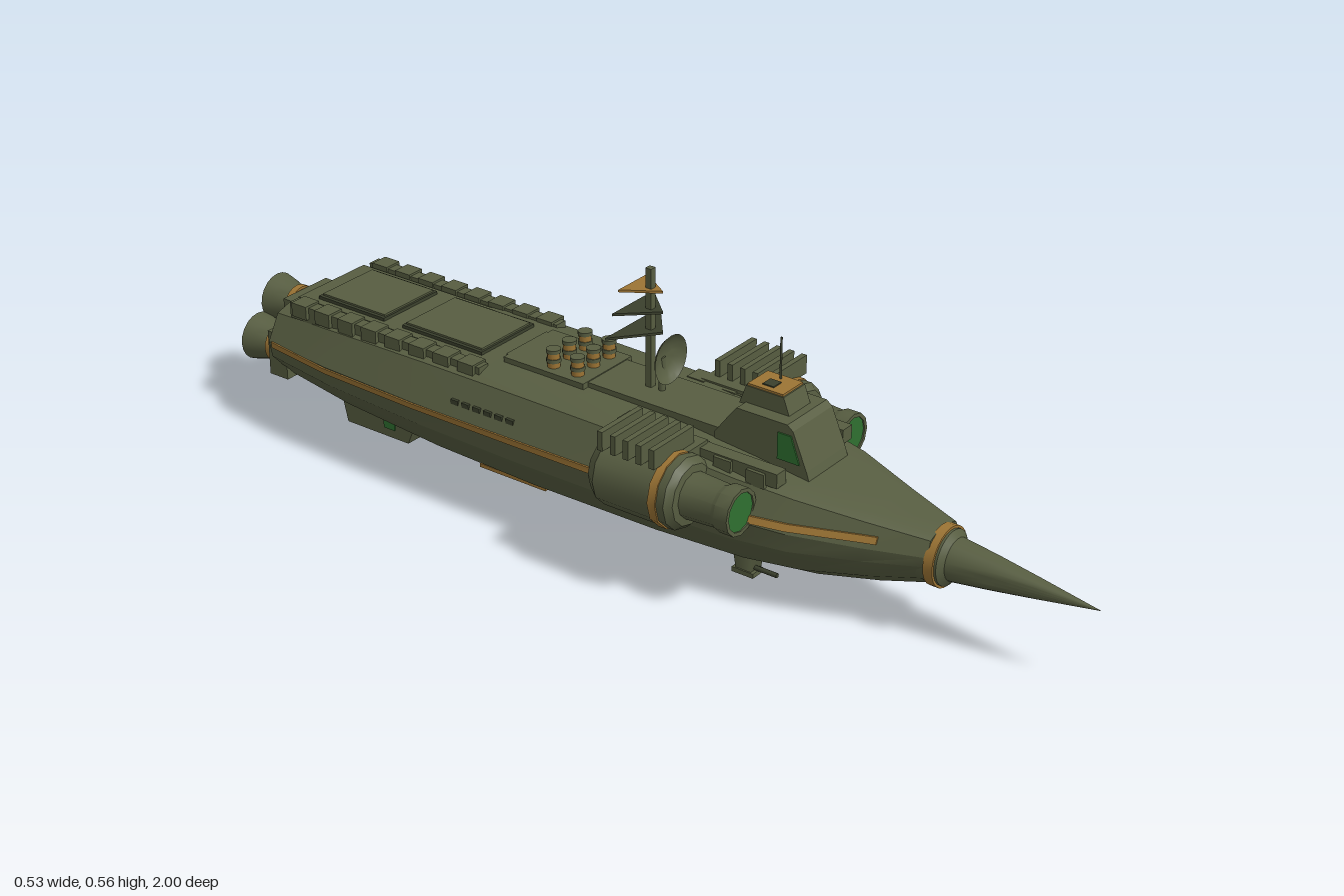
import * as THREE from 'three';
import { toCreasedNormals } from 'three/addons/utils/BufferGeometryUtils.js';

const mat = (name, color, side = THREE.FrontSide) => {
  const m = new THREE.MeshStandardMaterial({ color, side });
  m.name = name;
  return m;
};

// Hull stations: z, half width, top, bottom
const STATIONS = [
  [0.67, 0.056, 0.222, 0.112], [0.55, 0.1, 0.24, 0.078], [0.42, 0.148, 0.262, 0.05],
  [0.3, 0.172, 0.277, 0.036], [0.1, 0.187, 0.296, 0.027], [-0.2, 0.19, 0.3, 0.025],
  [-0.45, 0.19, 0.3, 0.034], [-0.7, 0.181, 0.291, 0.055], [-0.88, 0.155, 0.272, 0.078],
];
// Half cross-section, bottom to top, as fractions of half width and height
const SECTION = [[0.2, 0], [0.62, 0.18], [0.95, 0.47], [1, 0.66], [0.8, 0.94], [0.55, 1]];

function stationAt(z) {
  let i = 0;
  while (i < STATIONS.length - 2 && STATIONS[i + 1][0] > z) i++;
  const a = STATIONS[i], b = STATIONS[i + 1], t = (a[0] - z) / (a[0] - b[0]);
  return a.map((v, k) => v + (b[k] - v) * t);
}

// Half width of the hull at a given z and height
function hullX(z, y) {
  const [, w, t, b] = stationAt(z);
  const f = (y - b) / (t - b);
  for (let i = 0; i < SECTION.length - 1; i++) {
    const [x0, f0] = SECTION[i], [x1, f1] = SECTION[i + 1];
    if (f <= f1) return w * (x0 + (x1 - x0) * (f - f0) / (f1 - f0));
  }
  return w * 0.55;
}

// Skin between rings of equal length, running from front to back, with end caps
function loft(rings) {
  const n = rings[0].length, pos = [], idx = [];
  rings.forEach(r => r.forEach(p => pos.push(...p)));
  for (let i = 0; i < rings.length - 1; i++)
    for (let j = 0; j < n; j++) {
      const k = (j + 1) % n, a = i * n + j, b = i * n + k, d = a + n, c = b + n;
      idx.push(a, d, c, a, c, b);
    }
  const last = (rings.length - 1) * n;
  for (let j = 1; j < n - 1; j++) idx.push(0, j, j + 1, last, last + j + 1, last + j);
  const g = new THREE.BufferGeometry();
  g.setAttribute('position', new THREE.Float32BufferAttribute(pos, 3));
  g.setIndex(idx);
  return toCreasedNormals(g, 0.45);
}

// Solid of revolution along z; points are [radius, z] with z rising
function turned(points, sides) {
  const g = new THREE.LatheGeometry(points.map(p => new THREE.Vector2(...p)), sides);
  return toCreasedNormals(g.rotateX(Math.PI / 2), 0.6);
}

// Side profile of [z, y] points extruded across x
function slab(points, width) {
  const s = new THREE.Shape(points.map(p => new THREE.Vector2(...p)));
  const g = new THREE.ExtrudeGeometry(s, { depth: width, bevelEnabled: false });
  return g.rotateY(-Math.PI / 2).translate(width / 2, 0, 0);
}

export function createModel() {
  const root = new THREE.Group();
  const olive = mat('olive hull', 0x575d41);
  const oliveOpen = mat('olive open surfaces', 0x575d41, THREE.DoubleSide);
  const gold = mat('gold trim', 0x9c7434);
  const green = mat('green glass', 0x2f7030, THREE.DoubleSide);
  const dark = mat('dark olive', 0x3b402d);

  const add = (name, geo, m, x = 0, y = 0, z = 0) => {
    const o = new THREE.Mesh(geo, m);
    o.name = name;
    o.position.set(x, y, z);
    root.add(o);
    return o;
  };
  const box = (name, m, w, h, d, x, y, z) => add(name, new THREE.BoxGeometry(w, h, d), m, x, y, z);
  const rod = (name, m, r, h, x, y, z, n = 12) => add(name, new THREE.CylinderGeometry(r, r, h, n), m, x, y, z);

  // Hull
  add('hull', loft(STATIONS.map(([z, w, t, b]) => {
    const half = SECTION.map(([x, f]) => [x * w, b + f * (t - b), z]);
    return [...half, ...half.map(([x, y]) => [-x, y, z]).reverse()];
  })), olive);

  // Nose spike with collar
  add('noseCone', turned([[0, 0.64], [0.056, 0.64], [0.056, 0.69], [0.043, 0.7], [0.033, 0.78], [0.02, 0.87], [0, 1]], 24), olive, 0, 0.167, 0);
  add('noseRing', turned([[0.05, 0.665], [0.061, 0.665], [0.061, 0.685], [0.05, 0.685]], 24), gold, 0, 0.167, 0);

  // Parts mirrored on both sides
  for (const s of [1, -1]) {
    // Gold side stripe following the hull
    const rings = [0.58, 0.55, 0.42, 0.3, 0.1, -0.2, -0.45, -0.7, -0.87].map(z => {
      const p = [[-0.01, 0.196], [0.004, 0.196], [0.004, 0.209], [-0.01, 0.209]]
        .map(([o, y]) => [s * (hullX(z, y) + o), y, z]);
      return s > 0 ? p : p.reverse();
    });
    add('sideStripe', loft(rings), gold);

    // Side pods
    const px = s * 0.187, py = 0.23;
    add('podBody', turned([[0, 0.035], [0.055, 0.035], [0.074, 0.06], [0.074, 0.225], [0.062, 0.238], [0.047, 0.24],
      [0.043, 0.31], [0.048, 0.32], [0.048, 0.35], [0.04, 0.35], [0.04, 0.335], [0, 0.335]], 12), olive, px, py, 0);
    add('podRing', turned([[0.07, 0.19], [0.077, 0.19], [0.077, 0.208], [0.07, 0.208]], 12), gold, px, py, 0);
    add('podLens', new THREE.CircleGeometry(0.041, 12), green, px, py, 0.347);
    for (let i = 0; i < 5; i++) box('podFin', olive, 0.125, 0.04, 0.012, px, 0.315, 0.07 + i * 0.03);
    box('podBracket', olive, 0.06, 0.05, 0.16, s * 0.13, 0.275, 0.13);

    // Deck rails with raised blocks
    box('rearRail', olive, 0.028, 0.035, 0.51, s * 0.122, 0.287, -0.575);
    for (let i = 0; i < 8; i++) box('rearRailBlock', olive, 0.04, 0.03, 0.04, s * 0.124, 0.294, -0.35 - i * 0.064);
    box('frontRail', olive, 0.03, 0.03, 0.37, s * 0.11, 0.278, 0.2);
    for (let i = 0; i < 5; i++) box('frontRailBlock', olive, 0.04, 0.03, 0.04, s * 0.112, 0.284 - i * 0.003, 0.04 + i * 0.075);

    // Side vents and belly stripes
    for (let i = 0; i < 6; i++) {
      const z = -0.21 - i * 0.028;
      box('sideVent', dark, 0.008, 0.01, 0.018, s * hullX(z, 0.237), 0.237, z);
    }
    box('bellyStripe', gold, 0.008, 0.008, 0.17, s * 0.086, 0.053, -0.28);

    // Belly gun mounts
    const mount = add('bellyMount', new THREE.CylinderGeometry(0.024, 0.031, 0.05, 4, 1, false, Math.PI / 4), olive, s * 0.045, 0.037, 0.27);
    mount.rotation.x = Math.PI;
    box('bellyMountFoot', olive, 0.034, 0.01, 0.05, s * 0.049, 0.016, 0.27);
    const gun = rod('bellyGun', dark, 0.005, 0.06, s * 0.049, 0.026, 0.31, 8);
    gun.rotation.x = Math.PI / 2;

    // Bridge side windows
    add('bridgeSideWindow', slab([[0.395, 0.29], [0.375, 0.345], [0.345, 0.345], [0.345, 0.29]], 0.004), green, s * 0.066, 0, 0);
    box('keelLight', green, 0.004, 0.02, 0.03, s * 0.036, 0.03, -0.66);
  }

  // Bridge tower
  add('bridge', slab([[0.42, 0.25], [0.41, 0.28], [0.378, 0.355], [0.365, 0.365], [0.25, 0.365], [0.23, 0.34], [0.2, 0.3], [0.2, 0.25]], 0.13), olive);
  add('bridgeTop', slab([[0.35, 0.36], [0.335, 0.4], [0.25, 0.4], [0.235, 0.36]], 0.07), olive);
  box('bridgeRoof', gold, 0.066, 0.005, 0.08, 0, 0.402, 0.292);
  box('roofHatch', dark, 0.025, 0.006, 0.025, -0.008, 0.404, 0.29);
  rod('bridgeAntenna', dark, 0.0025, 0.09, 0.02, 0.445, 0.29, 6);

  // Raised spine along the deck
  box('frontSpine', olive, 0.125, 0.05, 0.36, 0, 0.284, 0.06);
  box('midSpine', olive, 0.155, 0.03, 0.2, 0, 0.296, -0.205);
  box('spineStep', olive, 0.125, 0.012, 0.06, 0, 0.305, -0.28);

  // Mast with triangular yards
  box('mast', olive, 0.014, 0.27, 0.014, 0, 0.425, 0);
  [[0.43, 0.088, dark], [0.473, 0.066, dark], [0.516, 0.046, gold]].forEach(([y, w, m]) => {
    const tri = new THREE.Shape([new THREE.Vector2(-w, 0.042), new THREE.Vector2(0, -0.03), new THREE.Vector2(w, 0.042)]);
    const g = new THREE.ExtrudeGeometry(tri, { depth: 0.005, bevelEnabled: false }).rotateX(-Math.PI / 2);
    add('yard', g, m, 0, y - 0.0025, 0);
  });

  // Radar dish
  add('radarDish', turned([[0, 0], [0.025, 0.004], [0.042, 0.011], [0.051, 0.02]], 24), oliveOpen, 0, 0.38, 0.03);
  rod('dishPost', olive, 0.007, 0.08, 0, 0.34, 0.028, 8);

  // Exhaust stacks
  for (const z of [-0.14, -0.2])
    for (const x of [-0.05, 0, 0.05]) {
      rod('stack', gold, 0.013, 0.045, x, 0.325, z);
      rod('stackCap', olive, 0.015, 0.008, x, 0.346, z);
      rod('stackBand', olive, 0.015, 0.008, x, 0.326, z);
    }

  // Rear deck with hatches
  box('rearDeck', olive, 0.2, 0.03, 0.52, 0, 0.285, -0.58);
  for (const [z, d] of [[-0.463, 0.2], [-0.708, 0.17]]) {
    box('hatchFrame', dark, 0.165, 0.01, d + 0.01, 0, 0.302, z);
    box('hatch', olive, 0.15, 0.016, d, 0, 0.303, z);
  }

  // Rear keel
  add('rearKeel', slab([[-0.58, 0.07], [-0.61, 0], [-0.78, 0], [-0.8, 0.085]], 0.07), olive);

  // Engine mount and bells
  box('engineMount', olive, 0.235, 0.1, 0.05, 0, 0.155, -0.895);
  box('engineMountTop', olive, 0.13, 0.07, 0.05, 0, 0.225, -0.895);
  for (const [x, y] of [[0, 0.22], [0.066, 0.152], [-0.066, 0.152]]) {
    add('engineBell', turned([[0.052, -1], [0.046, -0.975], [0.037, -0.945], [0.034, -0.91]], 20), oliveOpen, x, y, 0);
    add('engineRing', turned([[0.034, -0.943], [0.041, -0.943], [0.041, -0.928], [0.034, -0.928]], 20), gold, x, y, 0);
    add('engineGlow', new THREE.CircleGeometry(0.038, 20), green, x, y, -0.955);
  }
  return root;
}
